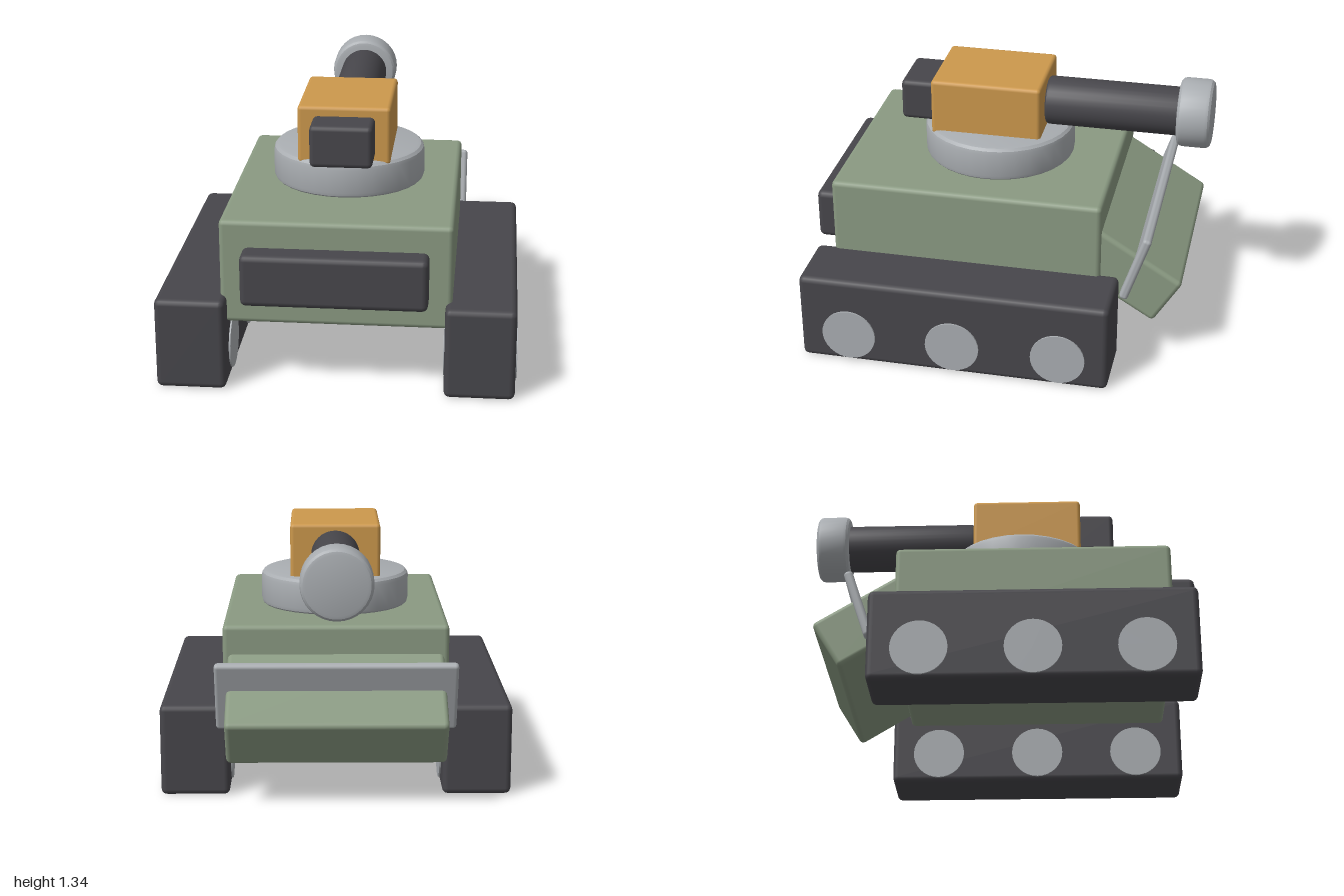
import * as THREE from 'three';
import { RoundedBoxGeometry } from 'three/addons/geometries/RoundedBoxGeometry.js';
import { toCreasedNormals } from 'three/addons/utils/BufferGeometryUtils.js';

const paint = (color) => new THREE.MeshStandardMaterial({ color });

export function createModel() {
  const model = new THREE.Group();
  const green = paint(0x8a9a82);
  const orange = paint(0xcc984c);
  const dark = paint(0x47464b);
  const steel = paint(0xa9adb1);

  const add = (name, geometry, material, x, y, z) => {
    const mesh = new THREE.Mesh(geometry, material);
    mesh.name = name;
    mesh.position.set(x, y, z);
    model.add(mesh);
    return mesh;
  };

  // Box with softened edges
  const box = (name, material, [w, h, d], [x, y, z], bevel = 0.025) =>
    add(name, new RoundedBoxGeometry(w, h, d, 2, bevel), material, x, y, z);

  // Solid disc or rod along y with bevelled rims
  const roundRod = (radius, height, bevel) => {
    const h = height / 2;
    const profile = [new THREE.Vector2(0, -h)];
    for (const [start, cy] of [[-Math.PI / 2, -h + bevel], [0, h - bevel]]) {
      for (let i = 0; i <= 3; i++) {
        const a = start + (i / 3) * (Math.PI / 2);
        profile.push(new THREE.Vector2(radius - bevel + Math.cos(a) * bevel, cy + Math.sin(a) * bevel));
      }
    }
    profile.push(new THREE.Vector2(0, h));
    return toCreasedNormals(new THREE.LatheGeometry(profile, 32), 0.4);
  };

  // Hull and front bumper
  box('hull', green, [1.146, 0.535, 1.4], [0, 0.598, 0.178]);
  box('frontBumper', dark, [0.916, 0.265, 0.16], [0, 0.598, 0.92], 0.03);

  // Sloping rear deck with an upright plate through it
  box('rearDeck', green, [1.096, 0.28, 0.6], [0, 0.497, -0.613]).rotation.x = -0.55;
  box('rearPlate', steel, [1.206, 0.375, 0.046], [0, 0.548, -0.703], 0.018).rotation.x = -0.32;

  // Tracks with wheel discs showing on both faces
  for (const side of [-1, 1]) {
    const label = side > 0 ? 'left' : 'right';
    box(label + 'Track', dark, [0.35, 0.47, 1.595], [side * 0.715, 0.239, 0.178], 0.03);
    for (const z of [0.72, 0.178, -0.366]) {
      const wheel = new THREE.CylinderGeometry(0.139, 0.139, 0.366, 32).rotateZ(Math.PI / 2);
      add(label + 'Wheel', wheel, steel, side * 0.715, 0.163, z);
    }
  }

  // Turret
  add('turretRing', roundRod(0.393, 0.19, 0.035), steel, 0, 0.95, 0.113);
  box('turretBody', orange, [0.47, 0.3, 0.573], [0, 1.17, 0.143], 0.02);
  box('turretFrontBlock', dark, [0.314, 0.215, 0.24], [0, 1.163, 0.487], 0.025);

  // Rear-facing barrel and muzzle
  add('barrel', roundRod(0.126, 0.75, 0.02).rotateX(Math.PI / 2), dark, 0, 1.163, -0.515);
  add('muzzle', roundRod(0.178, 0.174, 0.03).rotateX(Math.PI / 2), steel, 0, 1.163, -0.913);

  return model;
}
